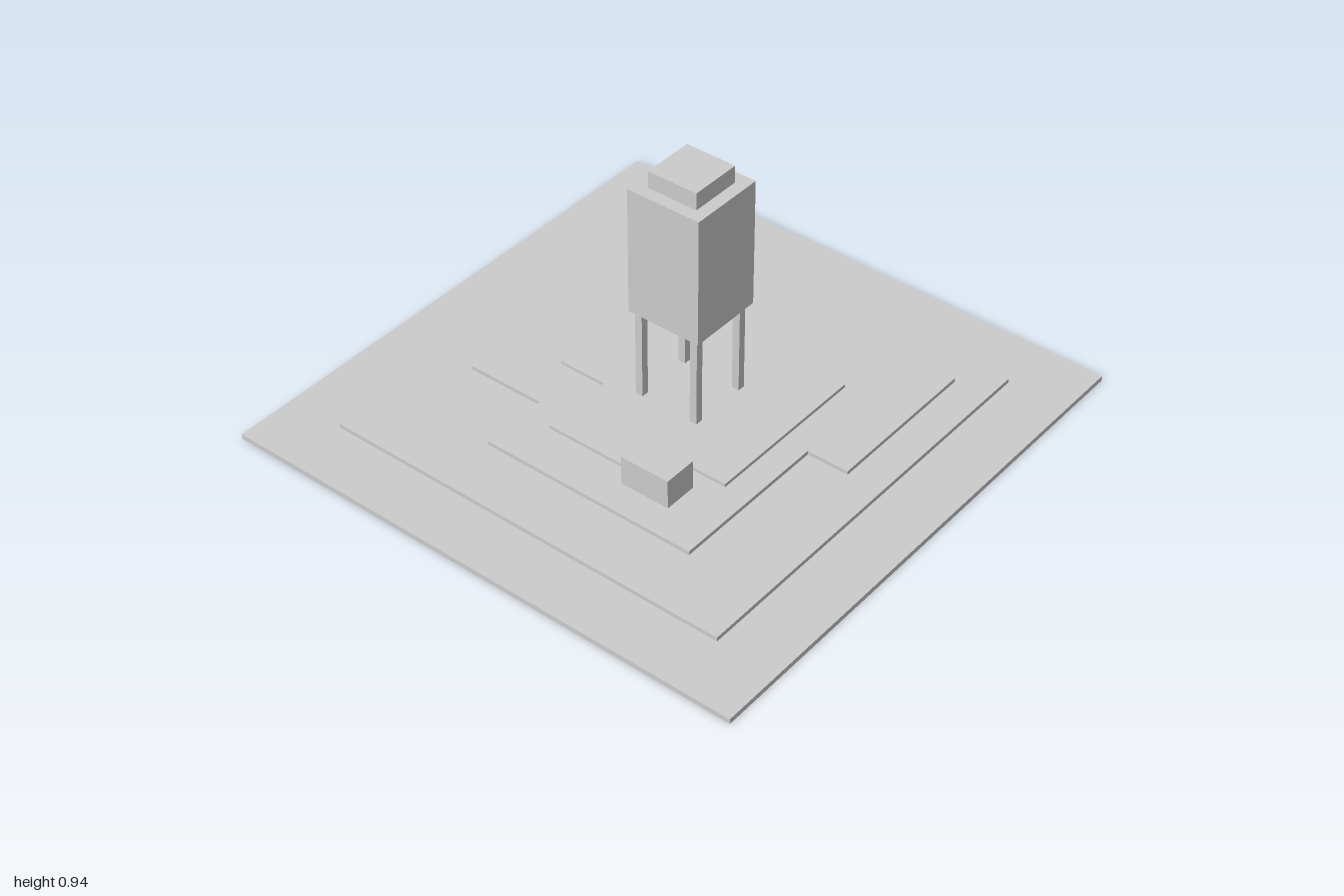
import * as THREE from 'three';

const material = new THREE.MeshStandardMaterial({ color: 0xcccccc, flatShading: true });

// Box given by its extents on each axis
function block(name, [x0, x1], [y0, y1], [z0, z1]) {
  const mesh = new THREE.Mesh(new THREE.BoxGeometry(x1 - x0, y1 - y0, z1 - z0), material);
  mesh.position.set((x0 + x1) / 2, (y0 + y1) / 2, (z0 + z1) / 2);
  mesh.name = name;
  return mesh;
}

// Flat slab with an outline given as [x, z] corners
function terrace(name, outline, y0, y1) {
  const shape = new THREE.Shape(outline.map(([x, z]) => new THREE.Vector2(x, -z)));
  const geometry = new THREE.ExtrudeGeometry(shape, { depth: y1 - y0, bevelEnabled: false });
  geometry.rotateX(-Math.PI / 2);
  const mesh = new THREE.Mesh(geometry, material);
  mesh.position.y = y0;
  mesh.name = name;
  return mesh;
}

export function createModel() {
  const model = new THREE.Group();
  model.name = 'waterTowerOnTerraces';

  // Stepped ground
  model.add(
    block('groundBase', [-1, 1], [0, 0.019], [-1, 1]),
    block('lowerTerrace', [-0.777, 0.777], [0.019, 0.035], [-0.777, 0.777]),
    terrace('middleTerrace', [
      [-0.033, -0.653], [0.647, -0.653], [0.647, -0.053], [0.49, -0.053], [0.49, 0.552],
      [-0.335, 0.552], [-0.335, 0.3], [-0.637, 0.3], [-0.637, -0.493], [-0.033, -0.493],
    ], 0.035, 0.05),
    terrace('upperTerrace', [
      [-0.111, -0.386], [0.393, -0.386], [0.393, 0.25], [0.22, 0.25], [0.22, 0.38],
      [-0.224, 0.38], [-0.224, 0.107], [-0.41, 0.107], [-0.41, -0.29], [-0.111, -0.29],
    ], 0.05, 0.063),
  );

  // Small hut on the edge of the upper terrace
  model.add(block('hut', [0.128, 0.316], [0.05, 0.16], [0.315, 0.44]));

  // Raised tower
  const tower = new THREE.Group();
  tower.name = 'tower';
  tower.add(
    block('tank', [-0.128, 0.155], [0.4, 0.875], [-0.192, 0.091]),
    block('tankCap', [-0.08, 0.11], [0.875, 0.938], [-0.145, 0.046]),
  );
  for (const [side, x] of [['right', -0.097], ['left', 0.128]]) {
    for (const [end, z] of [['Front', 0.066], ['Back', -0.154]]) {
      tower.add(block(`${side}${end}Leg`, [x - 0.014, x + 0.014], [0.063, 0.4], [z - 0.014, z + 0.014]));
    }
  }
  model.add(tower);

  return model;
}
